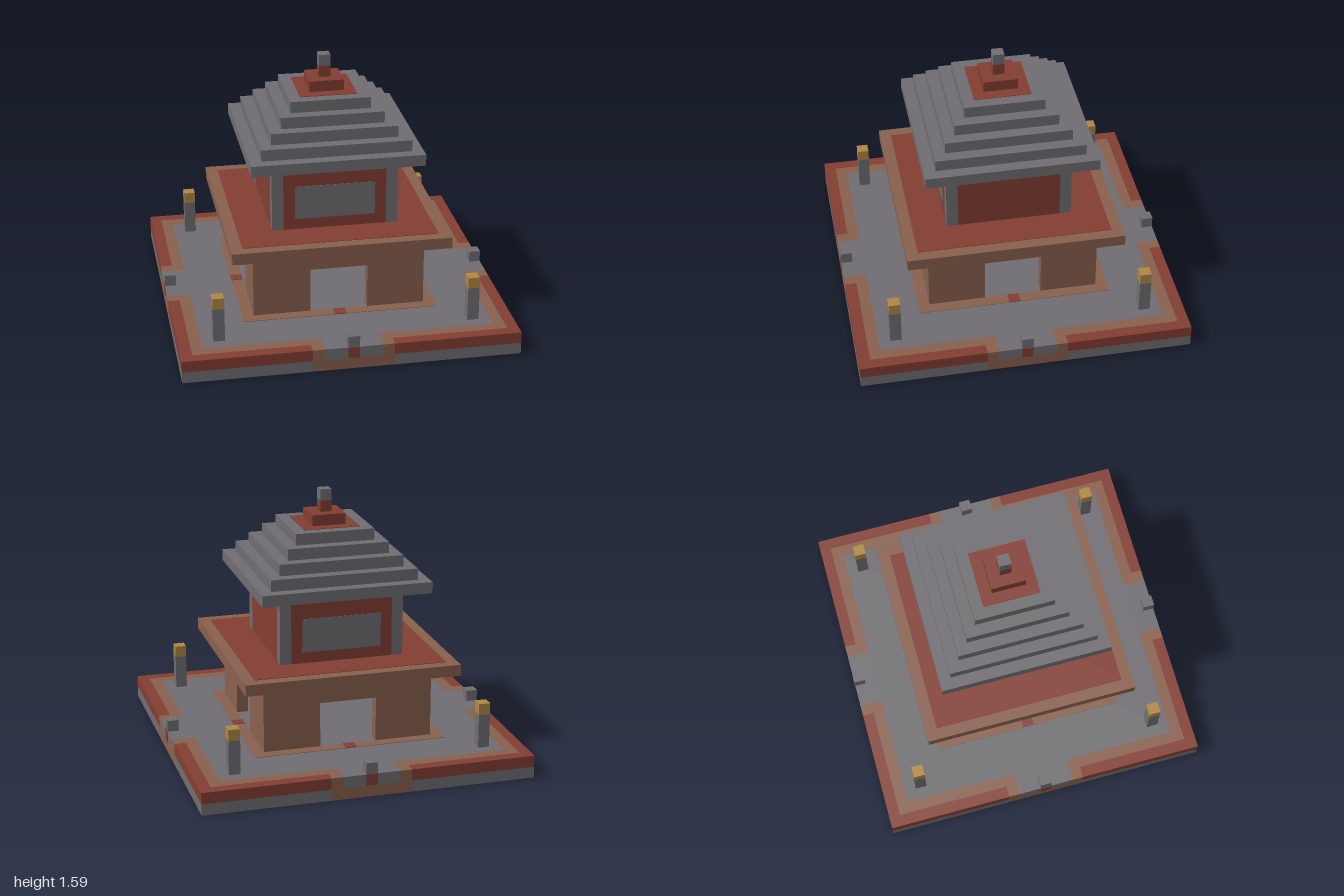
import * as THREE from 'three';

const U = 2 / 29; // one building block
const T = 0.04;   // thickness of painted plates, in blocks

export function createModel() {
  const model = new THREE.Group();
  model.name = 'temple';

  const paint = (name, hex) => {
    const m = new THREE.MeshStandardMaterial({ color: hex });
    m.name = name;
    return m;
  };
  const stone = paint('grey stone', 0x706e72);
  const red = paint('red brick', 0x843e33);
  const brown = paint('brown clay', 0x8a614e);
  const gold = paint('gold', 0xb08844);

  // Box from its limits, all in blocks
  function box(name, mat, x0, x1, y0, y1, z0, z1, parent = model) {
    const mesh = new THREE.Mesh(
      new THREE.BoxGeometry((x1 - x0) * U, (y1 - y0) * U, (z1 - z0) * U), mat);
    mesh.position.set((x0 + x1) * U / 2, (y0 + y1) * U / 2, (z0 + z1) * U / 2);
    mesh.name = name;
    parent.add(mesh);
  }
  // Centred square slab with half width h
  const slab = (name, mat, h, y0, y1) => box(name, mat, -h, h, y0, y1, -h, h);
  // Box mirrored in x when s is -1
  const side = (name, mat, s, a, b, y0, y1, z0, z1, parent) =>
    box(name, mat, s > 0 ? a : -b, s > 0 ? b : -a, y0, y1, z0, z1, parent);

  // Platform cores
  slab('foundation', brown, 13.5, 0, 1);
  slab('courtyard', stone, 12.5, 1, 2);

  // The four identical sides
  for (let i = 0; i < 4; i++) {
    const g = new THREE.Group();
    g.name = 'templeSide';
    g.rotation.y = i * Math.PI / 2;
    model.add(g);

    // Platform edge with gateway
    box('gateFoundation', brown, -3.5, 3.5, 0, 1, 13.5, 14.5, g);
    box('gatePath', stone, -2.5, 2.5, 1, 2, 12.5, 14.5, g);
    box('gateMark', red, -0.5, 0.5, 1, 2, 14.4, 14.5 + T, g);
    box('gatePost', stone, -0.5, 0.5, 2, 3, 13.5, 14.5, g);
    for (const s of [1, -1]) {
      const c = s > 0 ? 0 : 1; // each corner belongs to one side only
      side('foundationEdge', stone, s, 3.5, 14.5 - c, 0, 1, 13.5, 14.5, g);
      side('gateBorder', brown, s, 2.5, 3.5, 1, 2, 12.5, 14.5, g);
      side('innerBorder', brown, s, 3.5, 13.5 - c, 1, 2, 12.5, 13.5, g);
      side('outerBorder', red, s, 3.5, 14.5 - c, 1, 2, 13.5, 14.5, g);
      // Lower wall beside the doorway
      side('lowerWall', brown, s, 2.5, 7.5 - c, 2, 8, 6.5, 7.5, g);
    }
    box('doorLintel', brown, -2.5, 2.5, 6, 8, 6.5, 7.5, g);

    // Painted floor around the walls
    box('wallFootBorder', brown, -8.5, 7.5, 2, 2 + T, 7.5, 8.5, g);
    box('doorMark', red, -0.5, 0.5, 2, 2 + 2 * T, 7.5, 8.5, g);

    // Corner lamp post
    box('lampPost', stone, 10.5, 11.5, 2, 5, 10.5, 11.5, g);
    box('lampTop', gold, 10.5, 11.5, 5, 6, 10.5, 11.5, g);

    // Upper storey: red wall and corner pillar
    box('upperWall', red, -4.5, 4.5, 9, 15, 4.5, 5.5, g);
    box('cornerPillar', stone, 4.5, 5.5, 9, 15, 4.5, 5.5, g);
    if (i % 2 === 0) box('wallPanel', stone, -3.5, 3.5, 10, 13, 5.4, 5.5 + T, g);

    // Stone patch under the foundation
    box('foundationPatch', stone, 3.5, 8.5, 0, T, 3.5, 8.5, g);
    g.children.at(-1).position.y = -0.001 + T * U / 2;
  }

  // Terrace between the storeys
  slab('terrace', brown, 9.5, 8, 9);
  slab('terraceFloor', red, 8.5, 9, 9 + T);

  // Stepped roof
  slab('roofSoffit', red, 6.5, 15 - T, 15);
  for (let i = 0; i < 5; i++) slab('roofTier', stone, 7.5 - i, 15 + i, 16 + i);
  slab('roofTopPaint', red, 2.5, 20, 20 + T);

  // Finial
  slab('finialBase', red, 1.5, 20, 21);
  slab('finialNeck', red, 0.5, 21, 22);
  slab('finialTip', stone, 0.5, 22, 23);

  return model;
}
